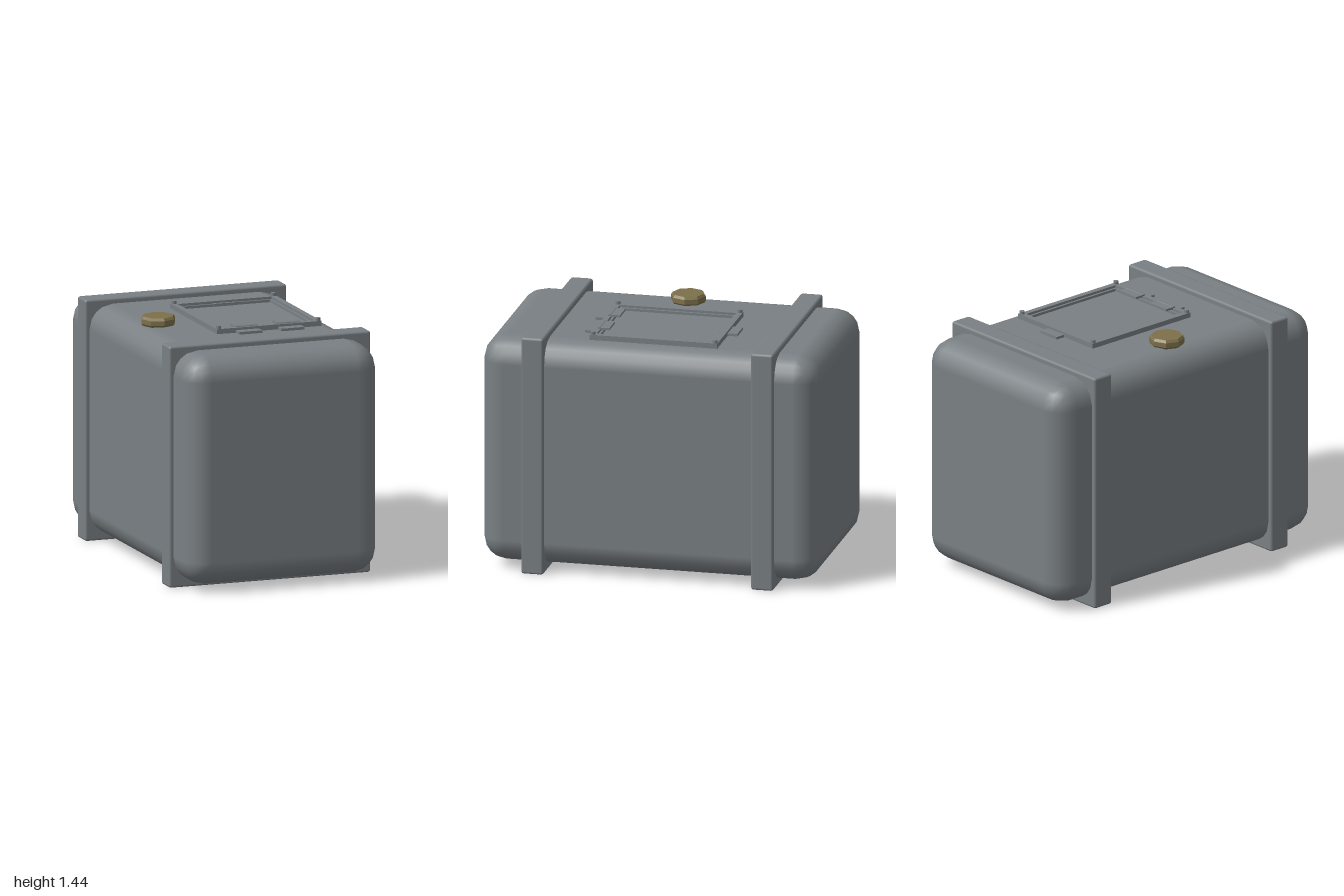
import * as THREE from 'three';
import { RoundedBoxGeometry } from 'three/addons/geometries/RoundedBoxGeometry.js';

export function createModel() {
  const model = new THREE.Group();
  model.name = 'fuelTank';
  const grey = new THREE.MeshStandardMaterial({ color: 0x7a8084 });
  grey.name = 'steel grey';
  const brass = new THREE.MeshStandardMaterial({ color: 0x7d714a });
  brass.name = 'dull brass';

  const add = (name, geometry, x, y, z, material = grey, parent = model) => {
    const mesh = new THREE.Mesh(geometry, material);
    mesh.name = name;
    mesh.position.set(x, y, z);
    parent.add(mesh);
    return mesh;
  };

  // Rounded tank
  add('tankBody', new RoundedBoxGeometry(1.19, 1.35, 2, 2, 0.145), 0, 0.713, 0);

  // Two square straps round the tank
  for (const z of [0.68, -0.68]) {
    add('strap', new RoundedBoxGeometry(1.24, 1.42, 0.132, 1, 0.014), 0, 0.71, z);
  }

  // Filler cap: chamfered octagon
  const capProfile = [[0.094, 0], [0.103, 0.012], [0.103, 0.04], [0.092, 0.055], [0, 0.055]]
    .map(([r, y]) => new THREE.Vector2(r, y));
  const capGeometry = new THREE.LatheGeometry(capProfile, 8).toNonIndexed();
  capGeometry.computeVertexNormals();
  add('fillerCap', capGeometry, -0.405, 1.385, 0, brass);

  // Access hatch
  const hatch = new THREE.Group();
  hatch.name = 'hatch';
  hatch.position.set(0.135, 1.385, 0);
  model.add(hatch);

  // Flat rectangular ring, w by d outside, t wide, h high
  const ring = (w, d, t, h) => {
    const rect = (Path, a, b) => new Path().setFromPoints([
      new THREE.Vector2(-a, -b), new THREE.Vector2(a, -b),
      new THREE.Vector2(a, b), new THREE.Vector2(-a, b), new THREE.Vector2(-a, -b)]);
    const shape = rect(THREE.Shape, w / 2, d / 2);
    shape.holes.push(rect(THREE.Path, w / 2 - t, d / 2 - t));
    return new THREE.ExtrudeGeometry(shape, { depth: h, bevelEnabled: false }).rotateX(-Math.PI / 2);
  };
  add('hatchFrame', ring(0.645, 0.755, 0.034, 0.032), 0, 0, 0, grey, hatch);
  add('hatchLip', ring(0.578, 0.688, 0.014, 0.018), 0, 0, 0, grey, hatch);

  // Corner bolts
  for (const x of [-0.306, 0.306]) {
    for (const z of [-0.361, 0.361]) {
      add('cornerBolt', new THREE.CylinderGeometry(0.015, 0.015, 0.05, 10), x, 0.025, z, grey, hatch);
    }
  }

  // Hinges at the front, catch at the back
  const hinge = (name, x, side) => {
    const part = new THREE.Group();
    part.name = name;
    part.position.set(x, 0, side * 0.361);
    hatch.add(part);
    add('outerLeaf', new THREE.BoxGeometry(0.142, 0.018, 0.068), 0, 0.009, side * 0.04, grey, part);
    if (side > 0) {
      add('innerLeaf', new THREE.BoxGeometry(0.142, 0.012, 0.06), 0, 0.033, -0.04, grey, part);
      const pin = new THREE.CylinderGeometry(0.012, 0.012, 0.142, 8).rotateZ(Math.PI / 2);
      add('hingePin', pin, 0, 0.03, -0.01, grey, part);
    } else {
      add('innerLeaf', new THREE.BoxGeometry(0.142, 0.02, 0.03), 0, 0.01, 0.02, grey, part);
    }
  };
  hinge('hinge', -0.135, 1);
  hinge('hinge', 0.125, 1);
  hinge('catch', -0.005, -1);

  return model;
}
